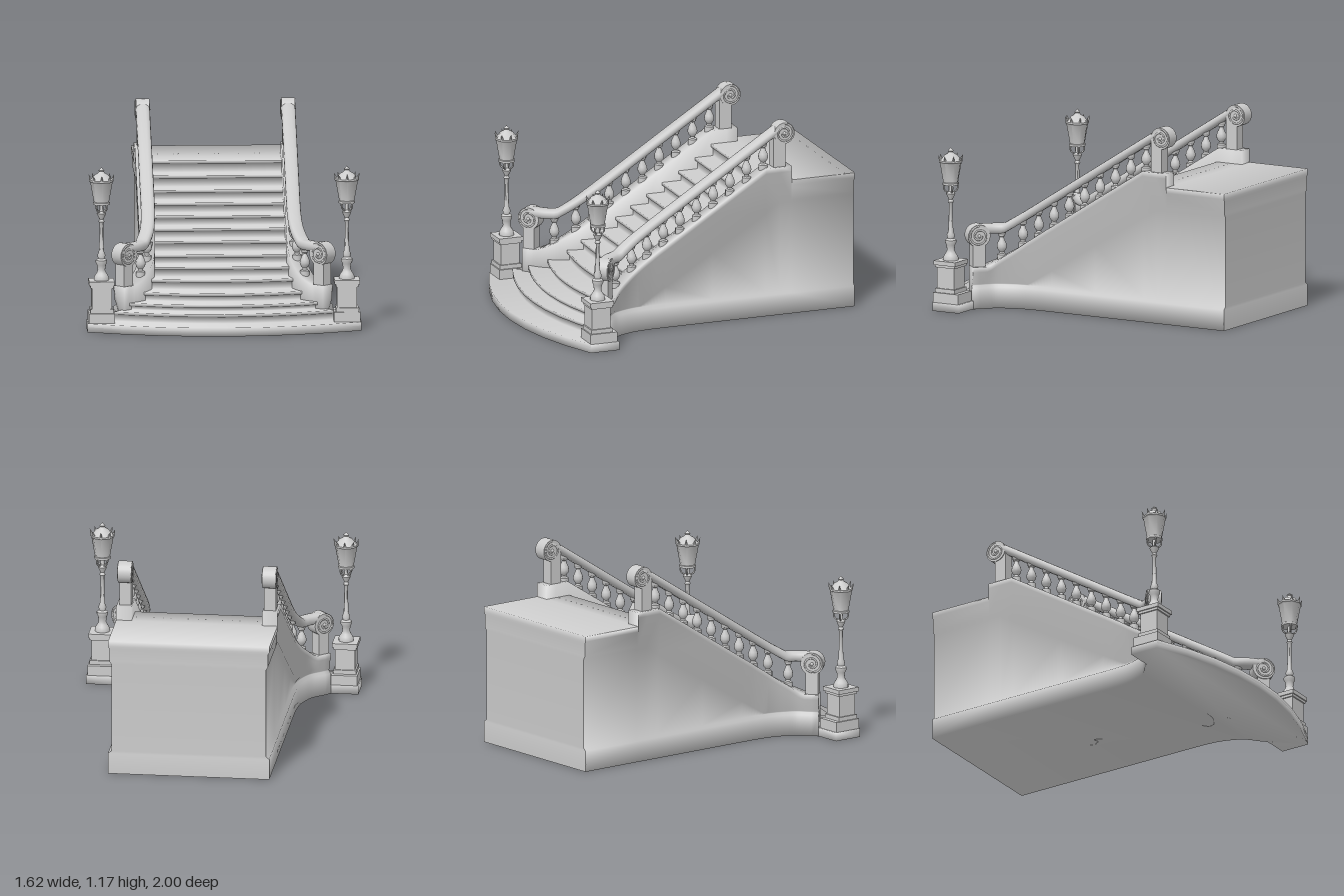
import * as THREE from 'three';
import { toCreasedNormals } from 'three/addons/utils/BufferGeometryUtils.js';

const stone = new THREE.MeshStandardMaterial({ color: 0xcccccc });
stone.name = 'grey stone';

function add(parent, geometry, name, x = 0, y = 0, z = 0) {
  const mesh = new THREE.Mesh(geometry, stone);
  mesh.name = name;
  mesh.position.set(x, y, z);
  parent.add(mesh);
  return mesh;
}
const box = (w, h, d) => new THREE.BoxGeometry(w, h, d);
const lathe = (pts, n = 12) =>
  toCreasedNormals(new THREE.LatheGeometry(pts.map(p => new THREE.Vector2(...p)), n), 0.8);

// Fully smooth normals: each corner averages the distinct faces that meet there
function blend(geo) {
  const p = geo.attributes.position, faces = new Map(), normals = [];
  const at = i => new THREE.Vector3().fromBufferAttribute(p, i);
  const key = i => at(i).toArray().map(v => Math.round(v * 1e4)).join();
  for (let i = 0; i < p.count; i += 3) {
    const n = at(i + 1).sub(at(i)).cross(at(i + 2).sub(at(i)));
    if (n.length() < 1e-10) continue;
    n.normalize();
    for (let k = i; k < i + 3; k++) {
      const list = faces.get(key(k)) ?? [];
      if (!list.some(m => m.dot(n) > 0.95)) list.push(n);
      faces.set(key(k), list);
    }
  }
  for (let i = 0; i < p.count; i++) {
    const sum = new THREE.Vector3();
    (faces.get(key(i)) ?? []).forEach(n => sum.add(n));
    normals.push(...sum.normalize().toArray());
  }
  geo.setAttribute('normal', new THREE.Float32BufferAttribute(normals, 3));
  return geo;
}
function fromTriangles(pos) {
  const g = new THREE.BufferGeometry();
  g.setAttribute('position', new THREE.Float32BufferAttribute(pos, 3));
  return blend(g);
}

// Plan of one balustrade: straight run, then an outward flare at the foot
const flare = new THREE.CatmullRomCurve3(
  [[0.43, 0.2], [0.432, 0.3], [0.442, 0.4], [0.465, 0.48], [0.508, 0.565], [0.585, 0.635]]
    .map(([x, z]) => new THREE.Vector3(x, 0, z)));
const straight = z => ({ x: 0.43, z, tx: 0, tz: 1 });
const flareStations = [];
for (let i = 0; i <= 24; i++) {
  const p = flare.getPoint(i / 24), t = flare.getTangent(i / 24);
  flareStations.push({ x: p.x, z: p.z, tx: t.x, tz: t.z });
}
const foot = flareStations[24];
function stationAt(z) {
  if (z < 0.2) return straight(z);
  return flareStations.reduce((a, b) => Math.abs(b.z - z) < Math.abs(a.z - z) ? b : a);
}

// Sweep a section of [outward offset, height] points along plan stations
function loft(stations, section, side) {
  const rings = stations.map(s => section(s).map(([o, y]) =>
    [side * (s.x + s.tz * o), y, s.z - s.tx * o]));
  const n = rings[0].length, pos = [];
  const tri = (a, b, c) => side > 0 ? pos.push(...a, ...b, ...c) : pos.push(...a, ...c, ...b);
  for (let i = 0; i < rings.length - 1; i++) {
    for (let j = 0; j < n; j++) {
      const k = (j + 1) % n, A = rings[i], B = rings[i + 1];
      tri(A[j], A[k], B[k]);
      tri(A[j], B[k], B[j]);
    }
  }
  [[0, true], [rings.length - 1, false]].forEach(([i, flip]) => {
    const flat = section(stations[i]).map(p => new THREE.Vector2(...p)), r = rings[i];
    THREE.ShapeUtils.triangulateShape(flat, []).forEach(([a, b, c]) =>
      flip ? tri(r[a], r[c], r[b]) : tri(r[a], r[b], r[c]));
  });
  return fromTriangles(pos);
}

const curbTop = s => s.low ? 0.82 : Math.max(0.25, Math.min(0.905, 0.63 - 0.63 * s.z));
const railTop = z => Math.max(0.502, Math.min(1.175, 0.83 - 0.635 * z));

// Side wall: plinth, recessed panel, and moulded band that follows the stair
function wallSection(s) {
  const top = curbTop(s);
  const band = Math.max(0.145, Math.min(0.68, 0.68 - 0.6 * (s.z + 0.53)));
  return [[-0.042, 0.002], [0.05, 0.002], [0.05, 0.125], [0.03, 0.14], [0.03, Math.min(band, top - 0.09)],
    [0.042, Math.min(band + 0.02, top - 0.07)], [0.042, top - 0.045], [0.05, top - 0.03], [0.05, top],
    [-0.042, top]];
}
function railSection(s) {
  const c = railTop(s.z) - 0.03, pts = [];
  for (let i = 0; i < 14; i++) {
    const a = i / 14 * Math.PI * 2, p = v => Math.sign(v) * Math.pow(Math.abs(v), 0.7);
    pts.push([0.042 * p(Math.cos(a)), c + 0.03 * p(Math.sin(a))]);
  }
  return pts;
}

// Rolled rail end with a raised spiral on both faces
function scroll(dir, r) {
  const g = new THREE.Group();
  g.name = 'railScroll';
  add(g, new THREE.CylinderGeometry(r, r, 0.08, 24), 'scrollDrum').rotation.z = Math.PI / 2;
  for (const f of [-1, 1]) {
    const pts = [];
    for (let i = 0; i <= 24; i++) {
      const a = i / 24 * Math.PI * 3.5, q = (r - 0.006) * (1 - 0.75 * i / 24);
      pts.push(new THREE.Vector3(f * 0.038, q * Math.cos(a), dir * q * Math.sin(a)));
    }
    add(g, new THREE.TubeGeometry(new THREE.CatmullRomCurve3(pts), 48, 0.006, 6), 'scrollSpiral');
    add(g, new THREE.SphereGeometry(0.012, 10, 8), 'scrollEye', f * 0.035);
  }
  return g;
}

function balustrade(side) {
  const g = new THREE.Group();
  g.name = 'balustrade';
  const low = z => ({ ...straight(z), low: true });
  const end = { ...foot, x: foot.x + foot.tx * 0.04, z: foot.z + foot.tz * 0.04 };
  add(g, loft([low(-0.997), low(-0.6), straight(-0.6), straight(-0.53), straight(-0.437),
    straight(-0.1), ...flareStations, end], wallSection, side), 'sideWall');
  add(g, loft([straight(-0.555), straight(-0.543), straight(-0.1), ...flareStations],
    railSection, side), 'handrail');

  // Posts and scrolls at both ends
  const turn = side * Math.atan2(foot.tx, foot.tz);
  const lower = scroll(1, 0.068);
  lower.position.set(side * foot.x, 0.435, foot.z);
  lower.rotation.y = turn;
  const upper = scroll(-1, 0.065);
  upper.position.set(side * 0.43, 1.11, -0.555);
  g.add(lower, upper);
  add(g, box(0.07, 0.18, 0.075), 'lowerPost', side * foot.x, 0.33, foot.z).rotation.y = turn;
  add(g, box(0.07, 0.2, 0.075), 'upperPost', side * 0.43, 1.0, -0.525);

  // Ten vase balusters
  const vase = lathe([[0, -0.02], [0.027, -0.02], [0.027, 0.018], [0.016, 0.024], [0.014, 0.034], [0.026, 0.05],
    [0.03, 0.066], [0.026, 0.085], [0.015, 0.11], [0.012, 0.122], [0.02, 0.128], [0.02, 0.136],
    [0.024, 0.14], [0.024, 0.17], [0, 0.17]]);
  for (let i = 0; i < 10; i++) {
    const s = stationAt(-0.435 + i * 0.106);
    add(g, vase, 'baluster', side * s.x, curbTop(s), s.z);
  }
  return g;
}

// Base slab: bowed front, pedestal corners, and the foot of the whole block
function baseSlab() {
  const s = new THREE.Shape();
  for (let i = 0; i <= 8; i++) {
    const u = i / 4 - 1, z = 1 - 0.19 * u * u;
    i ? s.lineTo(u * 0.81, -z) : s.moveTo(u * 0.81, -z);
  }
  const edge = [...flareStations].reverse().map(f => [f.x + f.tz * 0.049, f.z - f.tx * 0.049]);
  const right = [[0.81, 0.63], [0.65, 0.63], ...edge, [0.479, -0.997]];
  right.forEach(([x, z]) => s.lineTo(x, -z));
  right.reverse().forEach(([x, z]) => s.lineTo(-x, -z));
  return blend(new THREE.ExtrudeGeometry(s, { depth: 0.05, bevelEnabled: false }).rotateX(-Math.PI / 2));
}

// Surface strung across rows of [half width, front z, bow, height]
function rowSurface(rows) {
  const n = 8, pos = [];
  const lines = rows.map(([hw, z, bow, y]) => Array.from({ length: n + 1 }, (_, i) => {
    const u = i / (n / 2) - 1;
    return [u * hw, y, z - bow * u * u];
  }));
  for (let r = 0; r < lines.length - 1; r++) {
    const A = lines[r], B = lines[r + 1];
    for (let j = 0; j < n; j++)
      pos.push(...A[j], ...A[j + 1], ...B[j + 1], ...A[j], ...B[j + 1], ...B[j]);
  }
  return fromTriangles(pos);
}

// Flight of steps with overhanging treads: [top, front z, half width, bow]
function flight() {
  const steps = [[0.11, 0.855, 0.66, 0.13], [0.15, 0.76, 0.57, 0.1], [0.2, 0.645, 0.51, 0.08],
    [0.26, 0.51, 0.46, 0.045], [0.32, 0.4, 0.43, 0.01], [0.375, 0.285, 0.41, 0], [0.44, 0.178, 0.41, 0],
    [0.5, 0.08, 0.41, 0], [0.56, -0.02, 0.41, 0], [0.62, -0.12, 0.41, 0], [0.68, -0.225, 0.41, 0],
    [0.75, -0.33, 0.41, 0], [0.822, -0.43, 0.41, 0]];
  const rows = [[0.81, 1.001, 0.19, 0.03], [0.81, 1.001, 0.19, 0.052]];
  let below = 0.052;
  for (const [top, z, hw, bow] of steps) {
    rows.push([hw, z - 0.014, bow, below], [hw, z - 0.014, bow, top - 0.022],
      [hw, z, bow, top - 0.018], [hw, z, bow, top]);
    below = top;
  }
  rows.push([0.41, -0.6, 0, 0.822]);
  return rowSurface(rows);
}

function lamp(side) {
  const g = new THREE.Group();
  g.name = 'lampPost';
  g.position.set(side * 0.725, 0, 0.735);
  // Square pedestal
  add(g, box(0.155, 0.06, 0.17), 'pedestalPlinth', 0, 0.08, -0.01);
  add(g, box(0.135, 0.025, 0.135), 'pedestalFoot', 0, 0.122);
  add(g, box(0.118, 0.16, 0.118), 'pedestalBlock', 0, 0.19);
  add(g, box(0.135, 0.015, 0.135), 'pedestalNeck', 0, 0.268);
  add(g, box(0.15, 0.025, 0.15), 'pedestalCap', 0, 0.288);
  // Turned column
  add(g, lathe([[0.045, 0.3], [0.045, 0.315], [0.038, 0.33], [0.028, 0.345], [0.022, 0.36], [0.026, 0.39],
    [0.034, 0.405], [0.034, 0.42], [0.02, 0.43], [0.024, 0.45], [0.016, 0.47], [0.012, 0.54],
    [0.011, 0.64], [0.018, 0.65], [0.012, 0.665], [0.024, 0.69], [0.028, 0.7], [0.012, 0.712],
    [0.01, 0.76], [0, 0.76]]), 'lampColumn');
  // Eight-sided lantern with roof and finial
  add(g, lathe([[0, 0.752], [0.05, 0.752], [0.05, 0.765], [0.045, 0.768], [0.066, 0.885], [0.072, 0.89],
    [0.072, 0.9], [0.056, 0.908], [0.04, 0.93], [0.02, 0.94], [0.014, 0.95], [0.018, 0.957],
    [0.008, 0.965], [0, 0.975]], 8), 'lantern');
  const arm = new THREE.TubeGeometry(new THREE.CatmullRomCurve3([[0.01, 0.705], [0.033, 0.715],
    [0.043, 0.735], [0.038, 0.758]].map(([r, y]) => new THREE.Vector3(0, y, r))), 10, 0.005, 6);
  const leaf = new THREE.ConeGeometry(0.011, 0.045, 5).rotateX(0.35).translate(0, 0.913, 0.068);
  for (let i = 0; i < 8; i++) {
    add(g, leaf, 'lanternLeaf').rotation.y = i * Math.PI / 4;
    if (i % 2) add(g, arm, 'lanternArm').rotation.y = i * Math.PI / 4;
  }
  return g;
}

export function createModel() {
  const model = new THREE.Group();
  model.name = 'grandStaircase';
  add(model, baseSlab(), 'baseSlab');
  add(model, flight(), 'steps');
  // Landing floor and moulded back wall
  add(model, rowSurface([[0.48, -0.6, 0, 0.822], [0.48, -1, 0, 0.822], [0.48, -1, 0, 0.79], [0.472, -0.999, 0, 0.775],
    [0.472, -0.999, 0, 0.7], [0.46, -0.998, 0, 0.68], [0.46, -0.998, 0, 0.14], [0.48, -1, 0, 0.125],
    [0.48, -1, 0, 0]]), 'landing');
  for (const side of [-1, 1]) model.add(balustrade(side), lamp(side));
  return model;
}
